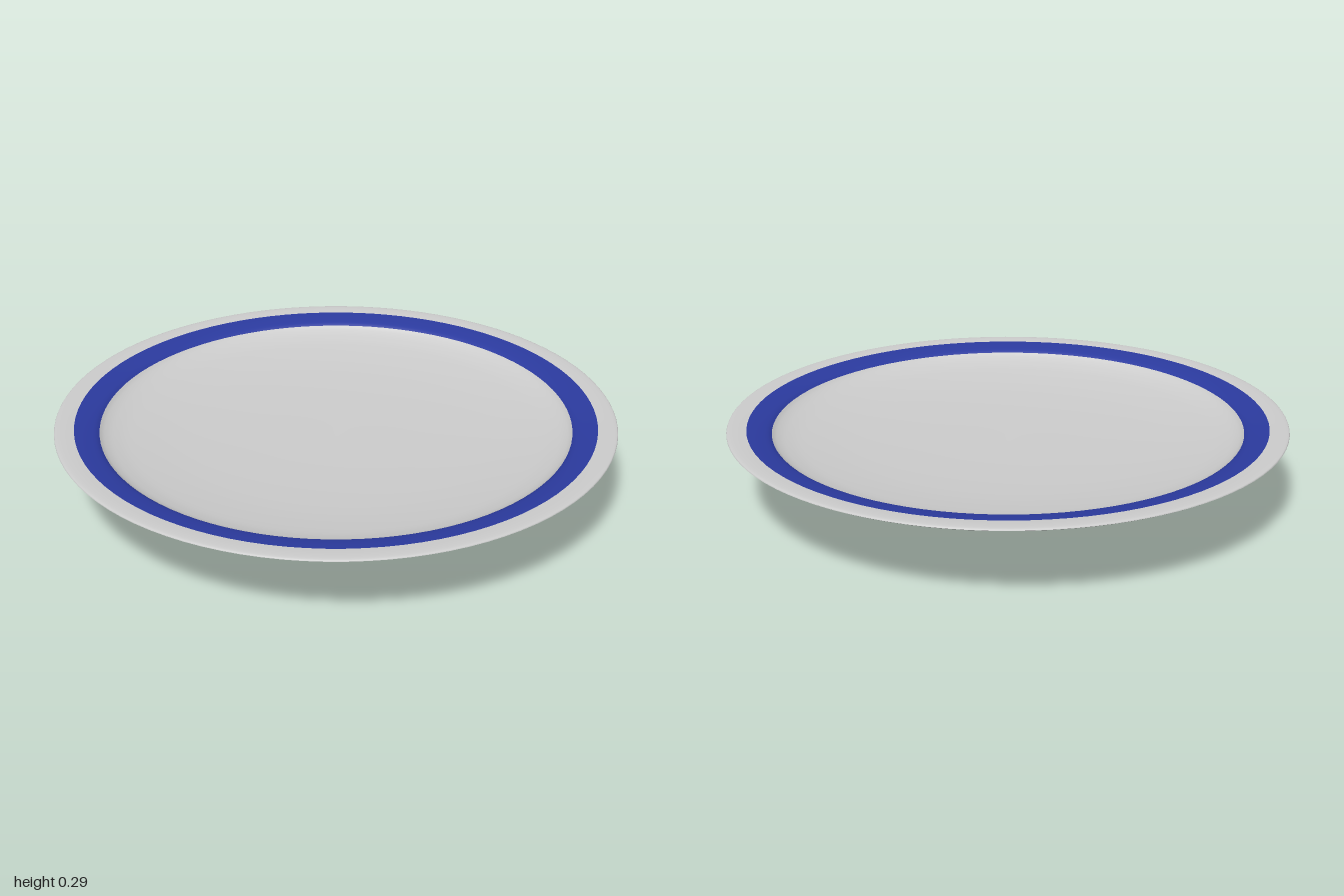
import * as THREE from 'three';

const SEGMENTS = 96;

// Smooth curve through profile points [radius, height]
function smooth(points, steps) {
  const curve = new THREE.SplineCurve(points.map(([r, y]) => new THREE.Vector2(r, y)));
  return curve.getPoints(steps).map((p) => new THREE.Vector2(Math.max(p.x, 0), Math.max(p.y, 0)));
}

function turned(name, points, steps, color = 0xcccccc) {
  const mesh = new THREE.Mesh(
    new THREE.LatheGeometry(smooth(points, steps), SEGMENTS),
    new THREE.MeshStandardMaterial({ color, side: THREE.DoubleSide })
  );
  mesh.name = name;
  return mesh;
}

export function createModel() {
  const plate = new THREE.Group();
  plate.name = 'plate';

  // Hollow under the foot ring
  plate.add(turned('footRecess', [
    [0, 0.045], [0.15, 0.045], [0.24, 0.043], [0.29, 0.033], [0.315, 0.015], [0.325, 0.001],
  ], 24));

  // Narrow standing edge of the foot
  plate.add(turned('footEdge', [[0.325, 0.001], [0.329, 0], [0.334, 0.004]], 6));

  // Flared underside from the foot to the rim
  plate.add(turned('underside', [
    [0.334, 0.004], [0.345, 0.03], [0.368, 0.067], [0.415, 0.104], [0.49, 0.135],
    [0.6, 0.168], [0.8, 0.228], [0.94, 0.269], [0.985, 0.281], [1, 0.288],
  ], 48));

  // Rounded rim
  plate.add(turned('rim', [
    [1, 0.288], [0.997, 0.292], [0.985, 0.294], [0.96, 0.294], [0.93, 0.292],
  ], 14));

  // Coloured band rolling over the inner lip
  plate.add(turned('band', [
    [0.93, 0.292], [0.9, 0.289], [0.87, 0.284], [0.853, 0.279], [0.842, 0.272],
  ], 14, 0x2b3a9e));

  // Shallow well
  plate.add(turned('well', [
    [0.842, 0.272], [0.825, 0.26], [0.79, 0.247], [0.72, 0.233],
    [0.55, 0.215], [0.3, 0.204], [0, 0.2],
  ], 36));

  return plate;
}
